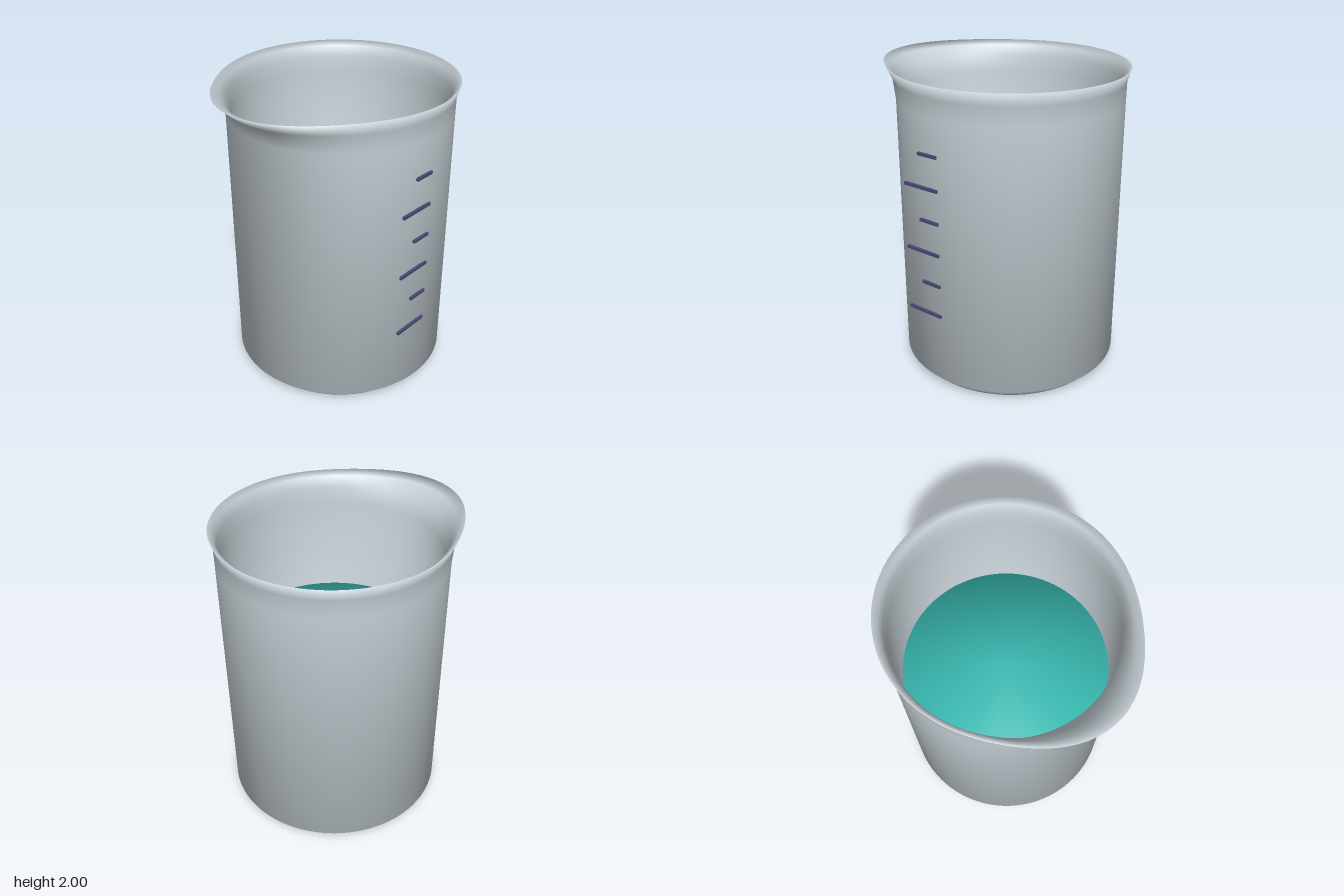
import * as THREE from 'three';
import { toCreasedNormals } from 'three/addons/utils/BufferGeometryUtils.js';

const AXIS_X = 0.073;
const SEGMENTS = 96;

// Lathe with a pouring lip pulled toward -x; each profile point is [radius, y, lip pull]
function lippedLathe(profile) {
  const g = new THREE.LatheGeometry(profile.map(([r, y]) => new THREE.Vector2(r, y)), SEGMENTS);
  const pos = g.attributes.position;
  for (let i = 0; i < pos.count; i++) {
    const pull = profile[i % profile.length][2] || 0;
    const x = pos.getX(i), z = pos.getZ(i);
    const r = Math.hypot(x, z);
    if (!pull || !r) continue;
    const angle = Math.atan2(z, -x); // 0 at the lip
    const k = 1 + pull * Math.exp(-((angle / 0.6) ** 2)) / r;
    pos.setX(i, x * k);
    pos.setZ(i, z * k);
  }
  // soft shading over every edge
  return toCreasedNormals(g, Math.PI);
}

export function createModel() {
  const glass = new THREE.MeshStandardMaterial({ color: 0xc6d0d6 });
  glass.name = 'pale grey glass';
  const teal = new THREE.MeshStandardMaterial({ color: 0x38bab2 });
  teal.name = 'teal liquid';
  const navy = new THREE.MeshStandardMaterial({ color: 0x484a74 });
  navy.name = 'navy marking';

  const model = new THREE.Group();
  model.name = 'beaker';
  const add = (name, geometry, material, x, y, z) => {
    const mesh = new THREE.Mesh(geometry, material);
    mesh.name = name;
    mesh.position.set(x, y, z);
    model.add(mesh);
  };

  // Glass wall: outside from the base up, over the rim, then down the inside
  add('glassVessel', lippedLathe([
    [0, 0], [0.65, 0], [0.715, 0.065],
    [0.715, 1.8, 0.008], [0.716, 1.92, 0.076], [0.74, 2, 0.145],
    [0.705, 1.97, 0.115], [0.69, 1.9, 0.06], [0.682, 1.8, 0.006],
    [0.682, 0.1], [0.63, 0.04], [0, 0.04],
  ]), glass, AXIS_X, 0, 0);

  // Liquid with a softly rounded edge
  add('liquid', lippedLathe([
    [0, 0.05], [0.62, 0.05], [0.674, 0.11], [0.674, 1.16], [0.02, 1.16], [0, 1.16],
  ]), teal, AXIS_X, 0, 0);

  // Graduation marks, alternating long and short, aligned at their right ends
  for (let i = 0; i < 6; i++) {
    const width = i % 2 ? 0.14 : 0.255;
    add('graduationMark' + (i + 1), new THREE.BoxGeometry(width, 0.019, 0.016), navy,
      AXIS_X - width / 2, 0.53 + 0.21 * i, 0.72);
  }
  return model;
}
